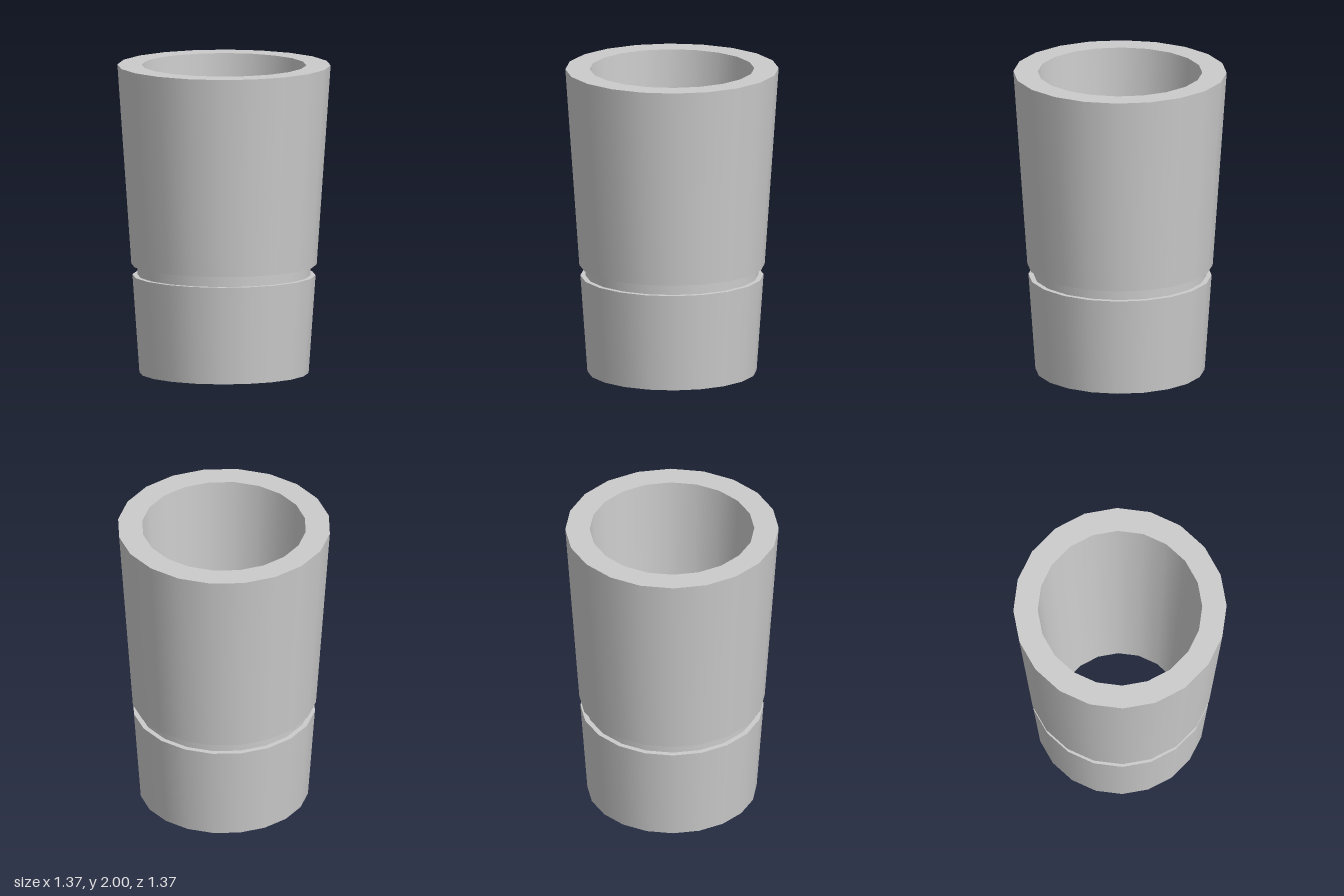
import * as THREE from 'three';
import { mergeGeometries } from 'three/addons/utils/BufferGeometryUtils.js';

const SIDES = 20;

// Revolves each profile segment on its own, so the corners between them stay sharp
function revolve(profile) {
  const strips = [];
  for (let i = 0; i < profile.length - 1; i++) {
    const points = [profile[i], profile[i + 1]].map(([r, y]) => new THREE.Vector2(r, y));
    strips.push(new THREE.LatheGeometry(points, SIDES));
  }
  return mergeGeometries(strips);
}

export function createModel() {
  const group = new THREE.Group();
  group.name = 'taperedSleeve';
  const material = new THREE.MeshStandardMaterial({ color: 0xcccccc });

  const add = (name, profile) => {
    const mesh = new THREE.Mesh(revolve(profile), material);
    mesh.name = name;
    group.add(mesh);
  };

  // Profiles are [radius, height], running up the outside and down the inside
  add('lowerCollar', [[0.42, 0], [0.545, 0], [0.59, 0.635]]);
  add('groove', [[0.59, 0.635], [0.557, 0.635], [0.557, 0.705], [0.597, 0.705]]);
  add('upperBody', [[0.597, 0.705], [0.687, 2], [0.53, 2]]);
  add('bore', [[0.53, 2], [0.42, 0]]);

  return group;
}
